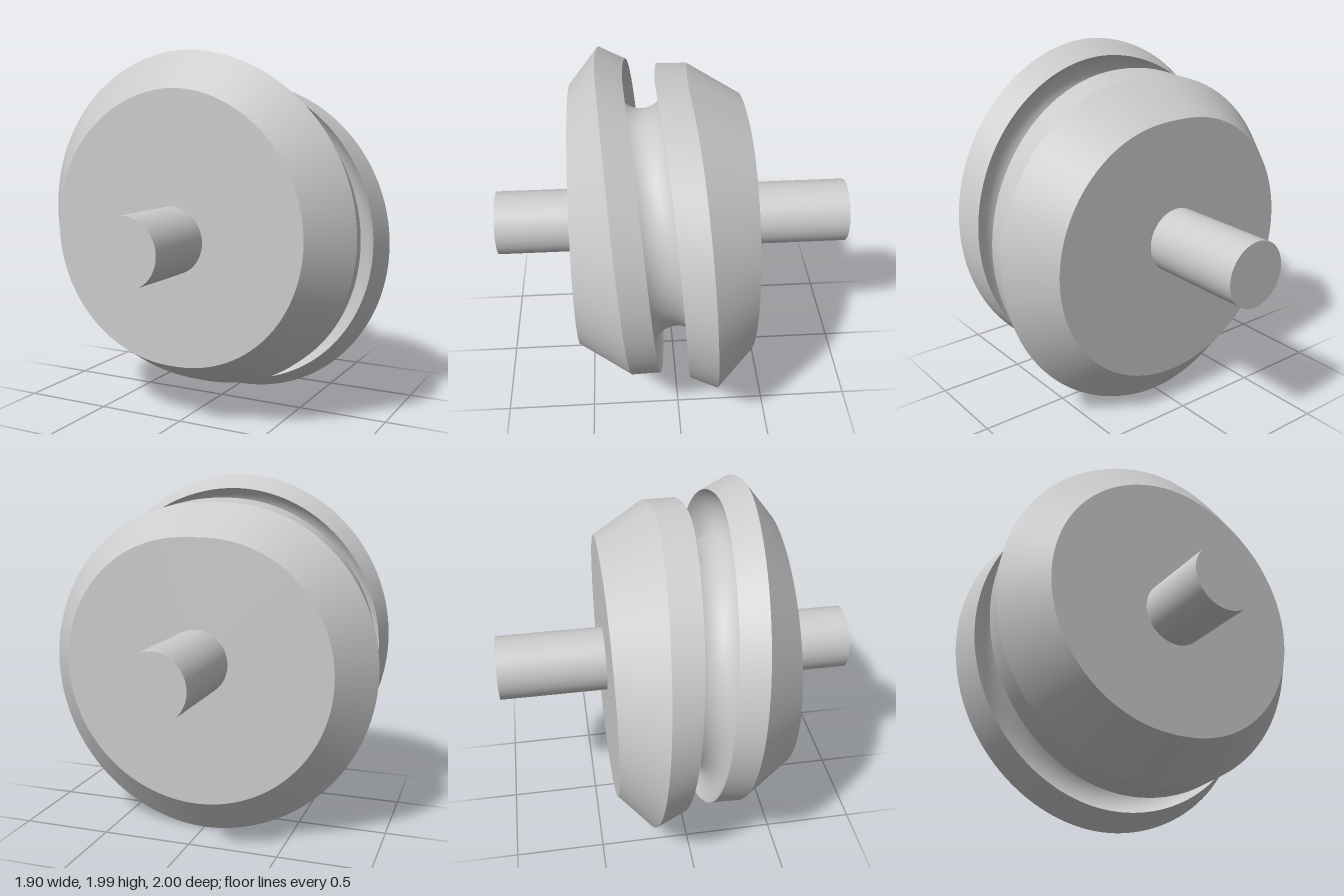
import * as THREE from 'three';
import { mergeGeometries } from 'three/addons/utils/BufferGeometryUtils.js';

const SEGMENTS = 144;
const GROOVE_STEPS = 28;

// Rises evenly from -1 at the bottom to 1 at the top, slightly rounded at both ends
const lead = (angle) => Math.asin(0.985 * Math.sin(angle)) / Math.asin(0.985);

// Section corners [z, radius], front to back, which shift and swell around the drum
function corners(t) {
  return {
    frontFace: [0.55, 0.735 + 0.055 * t],
    frontPeak: [0.31 + 0.09 * t, 0.925 + 0.07 * t - 0.005 * t * t],
    frontLip: [0.16 + 0.10 * t, 0.895 + 0.02 * t - 0.005 * t * t],
    backLip: [-0.005 + 0.095 * t, 0.91 - 0.028 * t - 0.022 * t * t],
    backPeak: [-0.165 + 0.08 * t, 0.95 - 0.08 * t - 0.03 * t * t],
    backFace: [-0.40, 0.76 - 0.065 * t - 0.025 * t * t],
  };
}

// Undercut round groove between the two lips
function grooveArc(t) {
  const { frontLip, backLip } = corners(t);
  const cz = 0.07 + 0.12 * t, cr = 0.77;
  const polar = ([z, r]) => [Math.atan2(r - cr, z - cz), Math.hypot(r - cr, z - cz)];
  const [a0, d0] = polar(frontLip);
  const [a1, d1] = polar(backLip);
  const points = [];
  for (let i = 0; i <= GROOVE_STEPS; i++) {
    const u = i / GROOVE_STEPS;
    const a = THREE.MathUtils.lerp(a0, a1 - Math.PI * 2, u);
    const d = THREE.MathUtils.lerp(0.143, THREE.MathUtils.lerp(d0, d1, u), (2 * u - 1) ** 2);
    points.push([cz + d * Math.cos(a), cr + d * Math.sin(a)]);
  }
  return points;
}

// Sweeps a changing section once around the z axis; bands meet in sharp edges
function sweepBand(section) {
  const positions = [], indices = [];
  let rows = 0;
  for (let j = 0; j < SEGMENTS; j++) {
    const angle = (j / SEGMENTS) * Math.PI * 2;
    const points = section(lead(angle));
    rows = points.length;
    for (const [z, r] of points) positions.push(r * Math.cos(angle), r * Math.sin(angle), z);
  }
  for (let j = 0; j < SEGMENTS; j++) {
    for (let i = 0; i < rows - 1; i++) {
      const a = j * rows + i;
      const b = ((j + 1) % SEGMENTS) * rows + i;
      indices.push(a, a + 1, b, a + 1, b + 1, b);
    }
  }
  const geometry = new THREE.BufferGeometry();
  geometry.setAttribute('position', new THREE.Float32BufferAttribute(positions, 3));
  geometry.setIndex(indices);
  geometry.computeVertexNormals();
  return geometry;
}

const between = (from, to) => sweepBand((t) => [corners(t)[from], corners(t)[to]]);

export function createModel() {
  const group = new THREE.Group();
  group.name = 'groovedCamDrum';
  const material = new THREE.MeshStandardMaterial({ color: 0xcccccc });

  const add = (name, geometry) => {
    const mesh = new THREE.Mesh(geometry, material);
    mesh.name = name;
    mesh.position.set(-0.005, 1, 0);
    group.add(mesh);
    return mesh;
  };

  // Front flange: flat face, bevel and rim
  add('frontFlange', mergeGeometries([
    sweepBand((t) => [[0.55, 0], corners(t).frontFace]),
    between('frontFace', 'frontPeak'),
    between('frontPeak', 'frontLip'),
  ]));

  // Slanted groove running around the drum
  add('camGroove', sweepBand(grooveArc));

  // Back flange: rim, bevel and flat face
  add('backFlange', mergeGeometries([
    between('backLip', 'backPeak'),
    between('backPeak', 'backFace'),
    sweepBand((t) => [corners(t).backFace, [-0.40, 0]]),
  ]));

  // Shaft stubs on both faces
  for (const [name, from, to] of [['frontShaft', 0.55, 1], ['backShaft', -1, -0.4]]) {
    const shaft = add(name, new THREE.CylinderGeometry(0.18, 0.18, to - from, 64).rotateX(Math.PI / 2));
    shaft.position.x = -0.01;
    shaft.position.z = (from + to) / 2;
  }

  return group;
}
